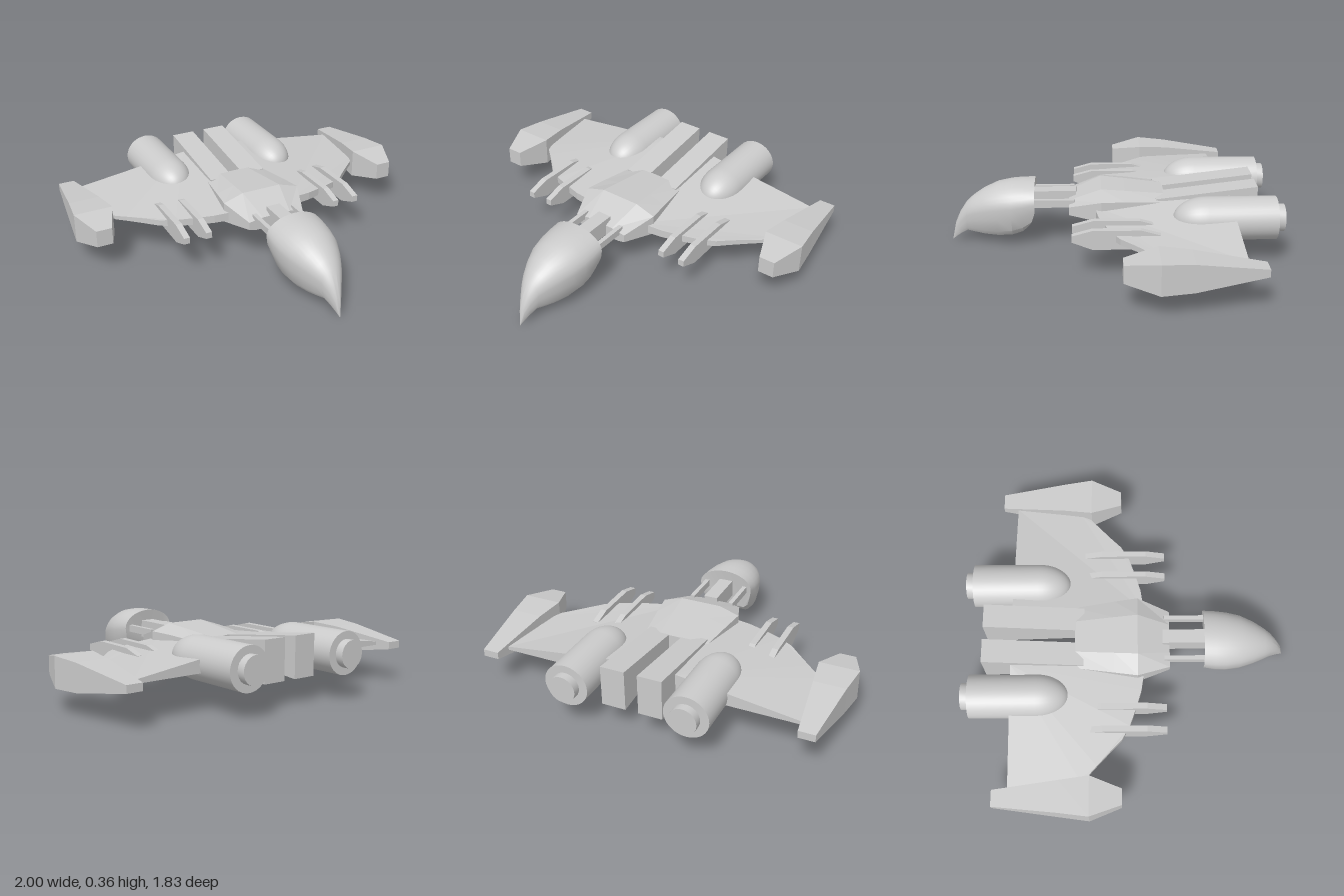
import * as THREE from 'three';
import { toCreasedNormals } from 'three/addons/utils/BufferGeometryUtils.js';

const flat = new THREE.MeshStandardMaterial({ color: 0xcccccc, flatShading: true });
const smooth = new THREE.MeshStandardMaterial({ color: 0xcccccc });

// Skin closed rings of [x, y, z], ordered back to front, each counter-clockwise seen from +z
function loft(rings) {
  const pos = [];
  const tri = (...pts) => pts.forEach(p => pos.push(...p));
  const n = rings[0].length;
  for (let i = 0; i < rings.length - 1; i++) {
    for (let j = 0; j < n; j++) {
      const k = (j + 1) % n;
      const a = rings[i][j], b = rings[i][k], c = rings[i + 1][k], d = rings[i + 1][j];
      tri(a, b, c);
      tri(a, c, d);
    }
  }
  const back = rings[0], front = rings[rings.length - 1];
  for (let k = 1; k < n - 1; k++) {
    tri(back[0], back[k + 1], back[k]);
    tri(front[0], front[k], front[k + 1]);
  }
  const geo = new THREE.BufferGeometry();
  geo.setAttribute('position', new THREE.Float32BufferAttribute(pos, 3));
  geo.computeVertexNormals();
  return geo;
}

// Rectangular section: half width, bottom, top
const rect = ([z, w, y0, y1]) => [[-w, y0, z], [w, y0, z], [w, y1, z], [-w, y1, z]];

// Section with a raised crown and a chamfered belly
const hullRing = ([z, w, y0, side0, side1, y1]) => [
  [-w * 0.75, y0, z], [w * 0.75, y0, z], [w, side0, z], [w, side1, z],
  [w * 0.5, y1, z], [-w * 0.5, y1, z], [-w, side1, z], [-w, side0, z],
];

// Head section: domed top, walls leaning in to a flat underside
function headRing([z, top, bottom, w], index) {
  const mid = bottom + (top - bottom) * 0.58;
  const ring = [[-w * 0.66, bottom, z], [0, bottom, z], [w * 0.66, bottom, z],
    [w * 0.84, bottom + (mid - bottom) * 0.2, z], [w * 0.96, bottom + (mid - bottom) * 0.65, z]];
  for (let i = 0; i <= 16; i++) {
    const a = i / 16 * Math.PI;
    ring.push([w * Math.cos(a), mid + (top - mid) * Math.sin(a), z]);
  }
  ring.push([-w * 0.96, bottom + (mid - bottom) * 0.65, z], [-w * 0.84, bottom + (mid - bottom) * 0.2, z]);
  // the rear rim slants forward under the chin
  if (index === 0) ring.forEach(p => { p[2] += Math.max(0, 0.2 - p[1]) * 0.4; });
  return ring;
}

export function createModel() {
  const model = new THREE.Group();
  const add = (name, geo, mat = flat, x = 0, y = 0, z = 0) => {
    const mesh = new THREE.Mesh(geo, mat);
    mesh.name = name;
    mesh.position.set(x, y, z);
    model.add(mesh);
    return mesh;
  };

  // Beaked head: z, top, bottom, half width
  const headStations = [
    [0.43, 0.362, 0.125, 0.163], [0.5, 0.362, 0.088, 0.164], [0.56, 0.358, 0.067, 0.16],
    [0.64, 0.343, 0.06, 0.145], [0.72, 0.308, 0.062, 0.114], [0.78, 0.268, 0.068, 0.084],
    [0.82, 0.232, 0.072, 0.06], [0.86, 0.172, 0.045, 0.035], [0.89, 0.105, 0.02, 0.016],
    [0.912, 0.004, 0, 0.001],
  ];
  add('head', toCreasedNormals(loft(headStations.map(headRing)), 0.55), smooth);

  // Neck beam and side struts
  add('neckBeam', new THREE.BoxGeometry(0.08, 0.1, 0.28), flat, 0, 0.25, 0.34);

  // Central hull
  add('hull', loft([
    [-0.29, 0.18, 0.17, 0.19, 0.28, 0.3],
    [-0.07, 0.212, 0.163, 0.19, 0.295, 0.323],
    [0.06, 0.23, 0.16, 0.185, 0.3, 0.336],
    [0.24, 0.165, 0.195, 0.205, 0.25, 0.262],
  ].map(hullRing)));

  // Wing outline as x, z
  const outline = [[0.17, 0.1], [0.23, 0.09], [0.3, 0.08], [0.4, 0.05], [0.5, 0.015], [0.58, -0.03],
    [0.64, -0.09], [0.72, -0.165], [0.77, -0.21], [0.79, -0.26], [0.84, -0.645], [0.17, -0.645]];
  // Engine profile as radius, distance from the rear
  const dome = Array.from({ length: 13 }, (_, i) => {
    const a = i / 12 * Math.PI / 2;
    return new THREE.Vector2(i === 12 ? 0 : Math.cos(a), 0.37 + 0.18 * Math.sin(a));
  });
  const engineGeo = toCreasedNormals(new THREE.LatheGeometry(
    [new THREE.Vector2(0, 0), new THREE.Vector2(1, 0), ...dome], 32), 0.6);
  engineGeo.rotateX(Math.PI / 2).scale(0.122, 0.116, 1);
  const nozzleGeo = toCreasedNormals(new THREE.CylinderGeometry(0.075, 0.075, 0.06, 24), 0.6);
  nozzleGeo.rotateX(Math.PI / 2);

  // Tip pod, gun blade and rear block, each centred on its own x
  const podGeo = loft([
    [-0.73, 0.045, 0.19, 0.23], [-0.37, 0.087, 0.132, 0.28],
    [-0.205, 0.109, 0.127, 0.291], [-0.03, 0.044, 0.165, 0.26],
  ].map(rect));
  const gunGeo = loft([
    [-0.24, 0.017, 0.21, 0.24], [-0.14, 0.017, 0.165, 0.268],
    [0.11, 0.017, 0.162, 0.27], [0.22, 0.017, 0.205, 0.24],
  ].map(rect));
  const blockGeo = loft([
    [-0.8, 0.067, 0.138, 0.362], [-0.24, 0.067, 0.185, 0.295],
  ].map(rect));

  for (const [side, s] of [['left', 1], ['right', -1]]) {
    add(side + 'NeckStrut', new THREE.BoxGeometry(0.025, 0.04, 0.26), flat, s * 0.12, 0.26, 0.34);

    // Wing slab with its upper face thinning toward the tip and leading edge
    const shape = new THREE.Shape(outline.map(([x, z]) => new THREE.Vector2(s * x, -z)));
    const wing = new THREE.ExtrudeGeometry(shape, { depth: 1, bevelEnabled: false });
    wing.rotateX(-Math.PI / 2);
    const p = wing.attributes.position;
    for (let i = 0; i < p.count; i++) {
      const inward = Math.max(0, 0.8 - Math.abs(p.getX(i)));
      const t = 0.35 + 0.65 * (0.1 - p.getZ(i)) / 0.745;
      p.setY(i, p.getY(i) > 0.5 ? 0.224 + inward * 0.14 * t : 0.205);
    }
    wing.computeVertexNormals();
    add(side + 'Wing', wing);

    add(side + 'WingtipPod', podGeo, flat, s * 0.891);
    add(side + 'InnerGun', gunGeo, flat, s * 0.395);
    add(side + 'OuterGun', gunGeo, flat, s * 0.523);
    add(side + 'RearBlock', blockGeo, flat, s * 0.103);
    add(side + 'Engine', engineGeo, smooth, s * 0.332, 0.248, -0.87);
    add(side + 'Nozzle', nozzleGeo, smooth, s * 0.332, 0.248, -0.884);
  }
  return model;
}
